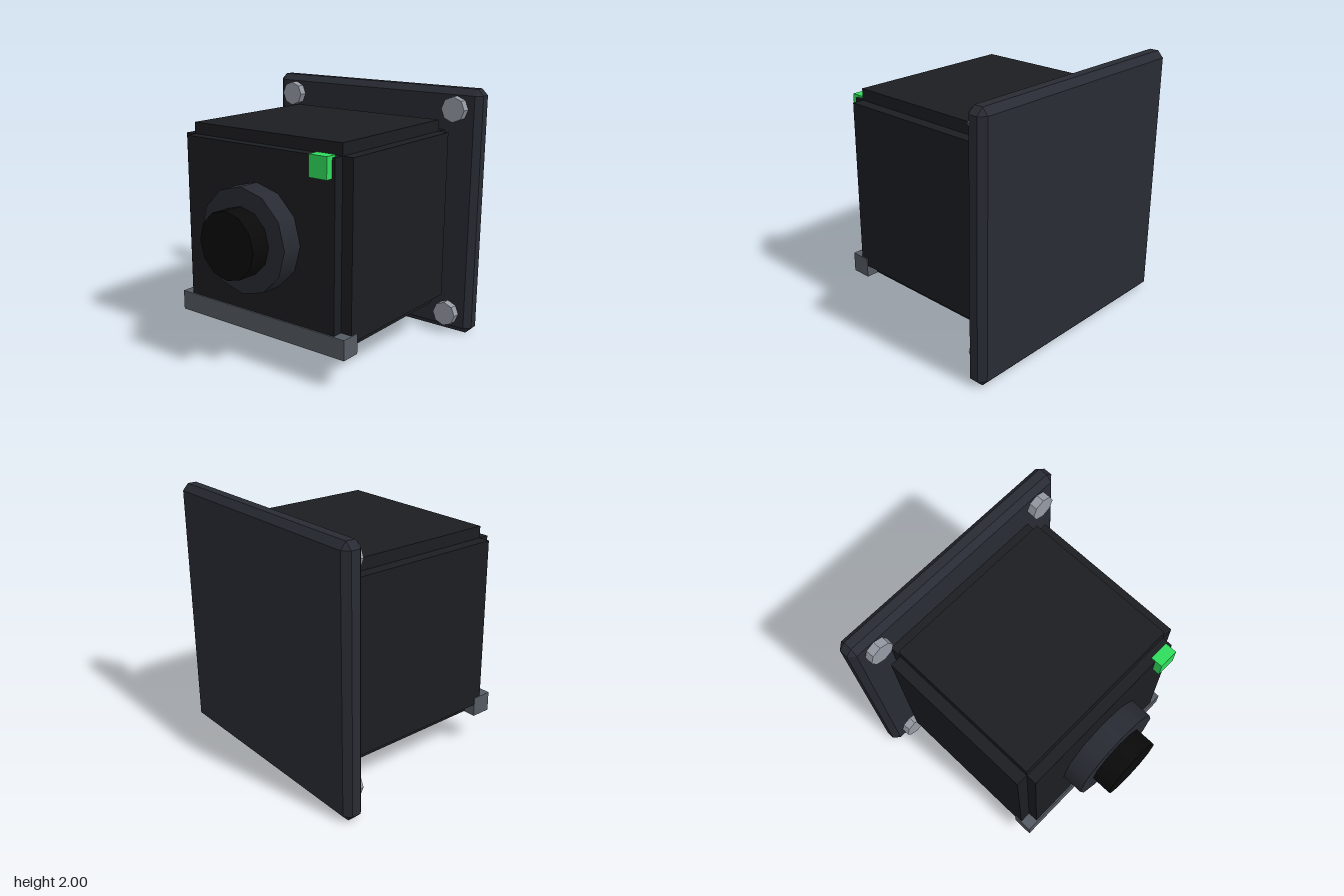
import * as THREE from 'three';
import { ConvexGeometry } from 'three/addons/geometries/ConvexGeometry.js';

const mat = (color, flatShading = false) => new THREE.MeshStandardMaterial({ color, flatShading });

export function createModel() {
  const model = new THREE.Group();
  const bodyMat = mat(0x1c1d21);
  const frameMat = mat(0x282b33);
  const boltMat = mat(0x959aa3, true);
  const midY = 1.005;

  const add = (name, geometry, material, x, y, z, parent = model) => {
    const mesh = new THREE.Mesh(geometry, material);
    mesh.name = name;
    mesh.position.set(x, y, z);
    parent.add(mesh);
    return mesh;
  };

  // Cylinder running along z from z0 to z1
  const addRound = (name, radius, sides, material, x, y, z0, z1) =>
    add(name, new THREE.CylinderGeometry(radius, radius, z1 - z0, sides).rotateX(Math.PI / 2),
      material, x, y, (z0 + z1) / 2);

  // Wall plate with every edge chamfered
  const corners = [];
  for (const sx of [-1, 1]) for (const sy of [-1, 1]) for (const sz of [-1, 1])
    for (const [x, y, z] of [[0.95, 0.95, 0.08], [1, 0.95, 0.035], [0.95, 1, 0.035]])
      corners.push(new THREE.Vector3(sx * x, sy * y, sz * z));
  add('wallPlate', new ConvexGeometry(corners), mat(0x282b33, true), 0, 1, -0.88);

  // Housing: three crossed blocks leave a square step along every edge
  const housing = new THREE.Group();
  housing.name = 'housing';
  model.add(housing);
  add('housingCore', new THREE.BoxGeometry(1.4, 1.33, 1.43), bodyMat, 0, midY, -0.085, housing);
  add('housingSides', new THREE.BoxGeometry(1.58, 1.33, 1.25), bodyMat, 0, midY, -0.078, housing);
  add('housingTopAndBottom', new THREE.BoxGeometry(1.4, 1.51, 1.25), bodyMat, 0, midY, -0.078, housing);

  // Lens barrel and dark lens
  addRound('lensBarrel', 0.4, 12, frameMat, 0, midY, 0.55, 0.8);
  addRound('lens', 0.256, 12, mat(0x0a0a0a), 0, midY, 0.7, 0.96);

  // Front sill and status light
  add('frontSill', new THREE.BoxGeometry(1.595, 0.155, 0.16), mat(0x555b63), 0, 0.323, 0.562);
  add('statusLight', new THREE.BoxGeometry(0.155, 0.16, 0.096), mat(0x30dd5c), 0.598, 1.606, 0.641);

  // Corner bolts
  for (const x of [-0.8, 0.8]) for (const y of [0.163, 1.842])
    addRound('bolt', 0.1, 8, boltMat, x, y, -0.83, -0.735);

  return model;
}
